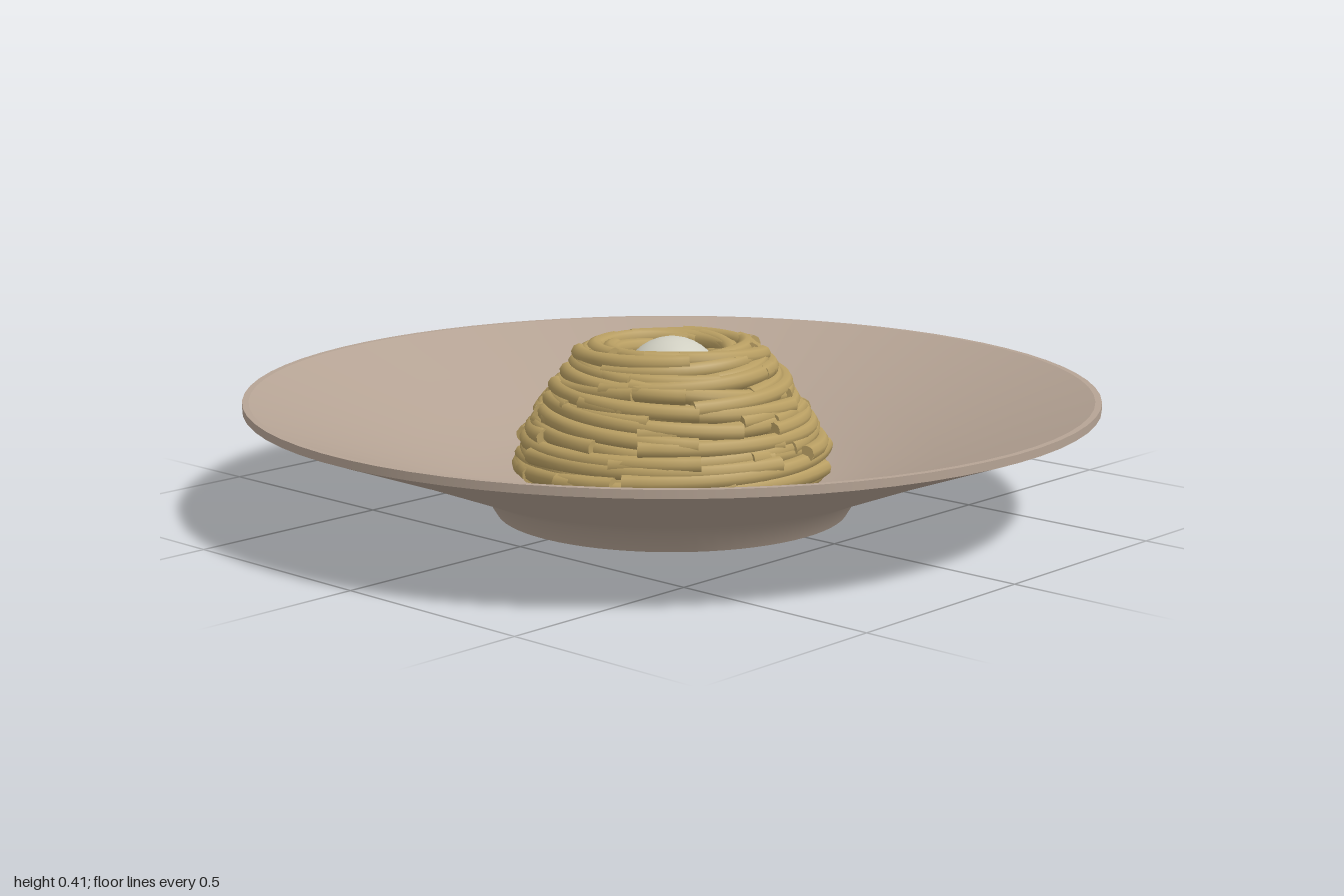
import * as THREE from 'three';
import { mergeGeometries } from 'three/addons/utils/BufferGeometryUtils.js';

const V2 = (p) => new THREE.Vector2(p[0], p[1]);

// Small seeded generator so the nest is the same every time
function seeded(seed) {
  return () => {
    seed = (seed * 1664525 + 1013904223) % 4294967296;
    return seed / 4294967296;
  };
}

// Blunt-ended tube along a curve
function strandGeometry(curve, radius, steps) {
  const sides = 9;
  const parts = [new THREE.TubeGeometry(curve, steps, radius, sides, false)];
  for (const [t, sign] of [[0, -1], [1, 1]]) {
    const cap = new THREE.CircleGeometry(radius, sides);
    const dir = curve.getTangent(t).multiplyScalar(sign);
    cap.applyQuaternion(new THREE.Quaternion().setFromUnitVectors(new THREE.Vector3(0, 0, 1), dir));
    const p = curve.getPoint(t);
    cap.translate(p.x, p.y, p.z);
    parts.push(cap);
  }
  return mergeGeometries(parts);
}

export function createModel() {
  const model = new THREE.Group();
  model.name = 'pastaPlate';
  const plateMat = new THREE.MeshStandardMaterial({ color: 0xb5a394 });
  const pastaMat = new THREE.MeshStandardMaterial({ color: 0xb89e62 });
  const ballMat = new THREE.MeshStandardMaterial({ color: 0xd0cfc2 });

  // Wide plate, one lathe per smooth zone so the edges between them stay sharp
  const plate = new THREE.Group();
  plate.name = 'plate';
  const zones = {
    plateBase: [[0, 0], [0.415, 0]],
    plateOutside: [[0.415, 0], [0.445, 0.05], [0.52, 0.083], [0.72, 0.162], [1, 0.265]],
    plateRim: [[1, 0.265], [1, 0.284]],
    plateLip: [[1, 0.284], [0.985, 0.284]],
    plateInside: [[0.985, 0.284], [0.8, 0.217], [0.62, 0.152], [0.48, 0.106], [0.36, 0.078], [0.22, 0.064], [0, 0.06]],
  };
  for (const [name, pts] of Object.entries(zones)) {
    const mesh = new THREE.Mesh(new THREE.LatheGeometry(pts.map(V2), 72), plateMat);
    mesh.name = name;
    plate.add(mesh);
  }
  model.add(plate);

  // Nest outline: up the outside, over the crest and down into the hollow
  const outline = new THREE.SplineCurve([
    [0.355, 0.105], [0.342, 0.16], [0.31, 0.225], [0.268, 0.285], [0.232, 0.34],
    [0.195, 0.378], [0.16, 0.385], [0.137, 0.365], [0.128, 0.32],
  ].map(V2));

  // Solid filling just beneath the strands
  const fill = new THREE.Mesh(new THREE.LatheGeometry([
    [0.345, 0.08], [0.33, 0.15], [0.295, 0.215], [0.25, 0.275], [0.215, 0.325],
    [0.18, 0.36], [0.155, 0.365], [0.13, 0.3], [0, 0.28],
  ].map(V2), 40), pastaMat);
  fill.name = 'nestFilling';
  model.add(fill);

  // Strands wound round the outline, each drifting gently up or down
  const nest = new THREE.Group();
  nest.name = 'pastaNest';
  const rand = seeded(11);
  const count = 84;
  for (let i = 0; i < count; i++) {
    const level = i / (count - 1);
    const start = i * 2.39996 + rand() * 0.5;
    const sweep = THREE.MathUtils.lerp(1.9, 1.3, level) + rand() * 0.6;
    const drift = (rand() - 0.5) * 0.24;
    const lift = (rand() - 0.5) * 0.018;
    const pts = [];
    for (let k = 0; k <= 10; k++) {
      const s = k / 10;
      const u = THREE.MathUtils.clamp(level + drift * (s - 0.5), 0, 1);
      const p = outline.getPointAt(u);
      const flare = 0.012 * Math.pow(2 * s - 1, 4) * (1 - level); // loose ends
      const r = p.x + lift + flare;
      const a = start + sweep * s;
      pts.push(new THREE.Vector3(r * Math.cos(a), p.y + lift * 0.3, r * Math.sin(a)));
    }
    const geo = strandGeometry(new THREE.CatmullRomCurve3(pts), 0.0205, 20);
    const strand = new THREE.Mesh(geo, pastaMat);
    strand.name = 'strand' + (i + 1);
    nest.add(strand);
  }
  model.add(nest);

  // Pale ball resting in the hollow
  const ball = new THREE.Mesh(new THREE.SphereGeometry(0.122, 32, 20), ballMat);
  ball.name = 'ball';
  ball.position.y = 0.29;
  model.add(ball);

  return model;
}
